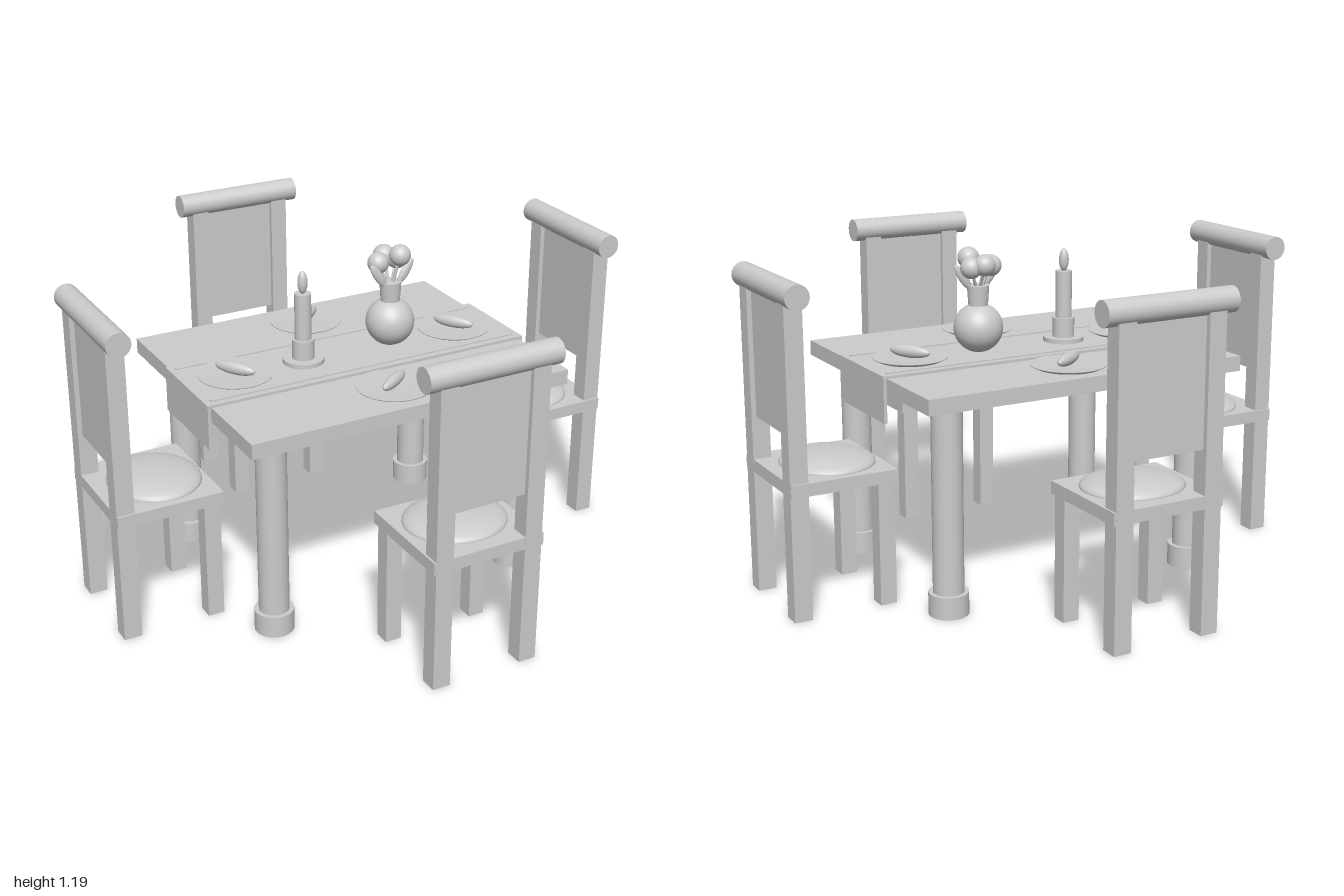
import * as THREE from 'three';

const material = new THREE.MeshStandardMaterial({ color: 0xcccccc, side: THREE.DoubleSide });

function add(parent, name, geometry, x = 0, y = 0, z = 0) {
  const mesh = new THREE.Mesh(geometry, material);
  mesh.name = name;
  mesh.position.set(x, y, z);
  parent.add(mesh);
  return mesh;
}
const box = (w, h, d) => new THREE.BoxGeometry(w, h, d);
const cyl = (r, h, top = r) => new THREE.CylinderGeometry(top, r, h, 40);
const ellipsoid = (x, y, z) => new THREE.SphereGeometry(1, 40, 24).scale(x, y, z);
const lathe = (pts) => new THREE.LatheGeometry(pts.map(([r, y]) => new THREE.Vector2(r, y)), 48);

function makeGroup(parent, name, x = 0, y = 0, z = 0) {
  const g = new THREE.Group();
  g.name = name;
  g.position.set(x, y, z);
  parent.add(g);
  return g;
}

// Chair with its back posts at z = 0, facing -z
function addChair(parent, name, angle, distance) {
  const chair = makeGroup(parent, name, Math.sin(angle) * distance, 0, Math.cos(angle) * distance);
  chair.rotation.y = angle;
  for (const s of [-1, 1]) {
    add(chair, 'backPost', box(0.065, 1.1, 0.065), s * 0.17, 0.55, 0);
    add(chair, 'frontLeg', box(0.06, 0.45, 0.06), s * 0.17, 0.225, -0.317);
  }
  add(chair, 'seat', box(0.42, 0.045, 0.39), 0, 0.465, -0.163);
  add(chair, 'cushion', ellipsoid(0.182, 0.042, 0.165), 0, 0.488, -0.185);
  add(chair, 'backPanel', box(0.29, 0.46, 0.03), 0, 0.87, 0);
  add(chair, 'topRail', cyl(0.0435, 0.49), 0, 1.122, 0).rotation.z = Math.PI / 2;
}

// Plate with a raised rim and a roll on it
function addSetting(parent, x, y, z, turn) {
  const setting = makeGroup(parent, 'placeSetting', x, y, z);
  add(setting, 'plate', lathe([[0, 0], [0.115, 0], [0.134, 0.009], [0.134, 0.012], [0.1, 0.008], [0, 0.007]]));
  add(setting, 'roll', ellipsoid(0.08, 0.023, 0.02), 0, 0.029, 0).rotation.y = turn;
}

function addTable(parent) {
  const table = makeGroup(parent, 'table');
  add(table, 'tabletop', box(1.24, 0.055, 0.99), 0, 0.7725, 0);
  add(table, 'underPanel', box(0.7, 0.03, 0.54), 0, 0.73, 0);
  for (const sx of [-1, 1]) for (const sz of [-1, 1]) {
    add(table, 'tableLeg', cyl(0.054, 0.745), sx * 0.495, 0.3725, sz * 0.373);
    add(table, 'tableFoot', cyl(0.07, 0.08), sx * 0.495, 0.04, sz * 0.373);
  }
}

function addRunner(parent) {
  const runner = makeGroup(parent, 'tableRunner');
  add(runner, 'runnerTop', box(1.27, 0.01, 0.365), 0, 0.805, 0);
  for (const s of [-1, 1]) {
    add(runner, 'runnerDrop', box(0.012, 0.165, 0.365), s * 0.629, 0.7275, 0);
    add(runner, 'runnerStripe', box(1.22, 0.005, 0.014), 0, 0.8115, s * 0.15);
  }
}

function addCandle(parent) {
  const candle = makeGroup(parent, 'candle', -0.18, 0.81, 0);
  add(candle, 'candleBase', cyl(0.075, 0.016), 0, 0.008, 0);
  add(candle, 'candleHolder', cyl(0.04, 0.075), 0, 0.05, 0);
  add(candle, 'candleStick', cyl(0.03, 0.18), 0, 0.17, 0);
  add(candle, 'flame', ellipsoid(0.018, 0.042, 0.018), 0, 0.3, 0);
}

function addVase(parent) {
  const vase = makeGroup(parent, 'vase', 0.175, 0.81, 0);
  add(vase, 'vaseBelly', ellipsoid(0.089, 0.089, 0.089), 0, 0.086, 0);
  add(vase, 'vaseNeck', cyl(0.034, 0.09, 0.04), 0, 0.195, 0);
  // Blooms, each on a stem rising from the neck
  const blooms = [[-0.04, 0.31, -0.02], [0.005, 0.32, -0.06], [0.03, 0.338, 0.015], [0.045, 0.31, -0.035]];
  for (const [x, y, z] of blooms) {
    const stem = new THREE.LineCurve3(new THREE.Vector3(0, 0.2, 0), new THREE.Vector3(x, y, z));
    add(vase, 'stem', new THREE.TubeGeometry(stem, 1, 0.006, 8));
    add(vase, 'bloom', ellipsoid(0.039, 0.039, 0.039), x, y, z);
  }
  // Leaves leaning outward
  for (const s of [-1, 1]) {
    const leaf = add(vase, 'leaf', ellipsoid(0.017, 0.055, 0.01), s * 0.055, 0.27, 0.01);
    leaf.rotation.z = -s * 0.6;
  }
}

export function createModel() {
  const model = new THREE.Group();
  model.name = 'diningSet';
  addTable(model);
  addRunner(model);
  addChair(model, 'frontChair', 0, 0.932);
  addChair(model, 'leftChair', Math.PI / 2, 0.957);
  addChair(model, 'backChair', Math.PI, 0.932);
  addChair(model, 'rightChair', -Math.PI / 2, 0.957);
  for (const s of [-1, 1]) {
    addSetting(model, s * 0.447, 0.81, 0, -0.97);
    addSetting(model, 0, 0.801, s * 0.335, 0.6);
  }
  addCandle(model);
  addVase(model);
  return model;
}
